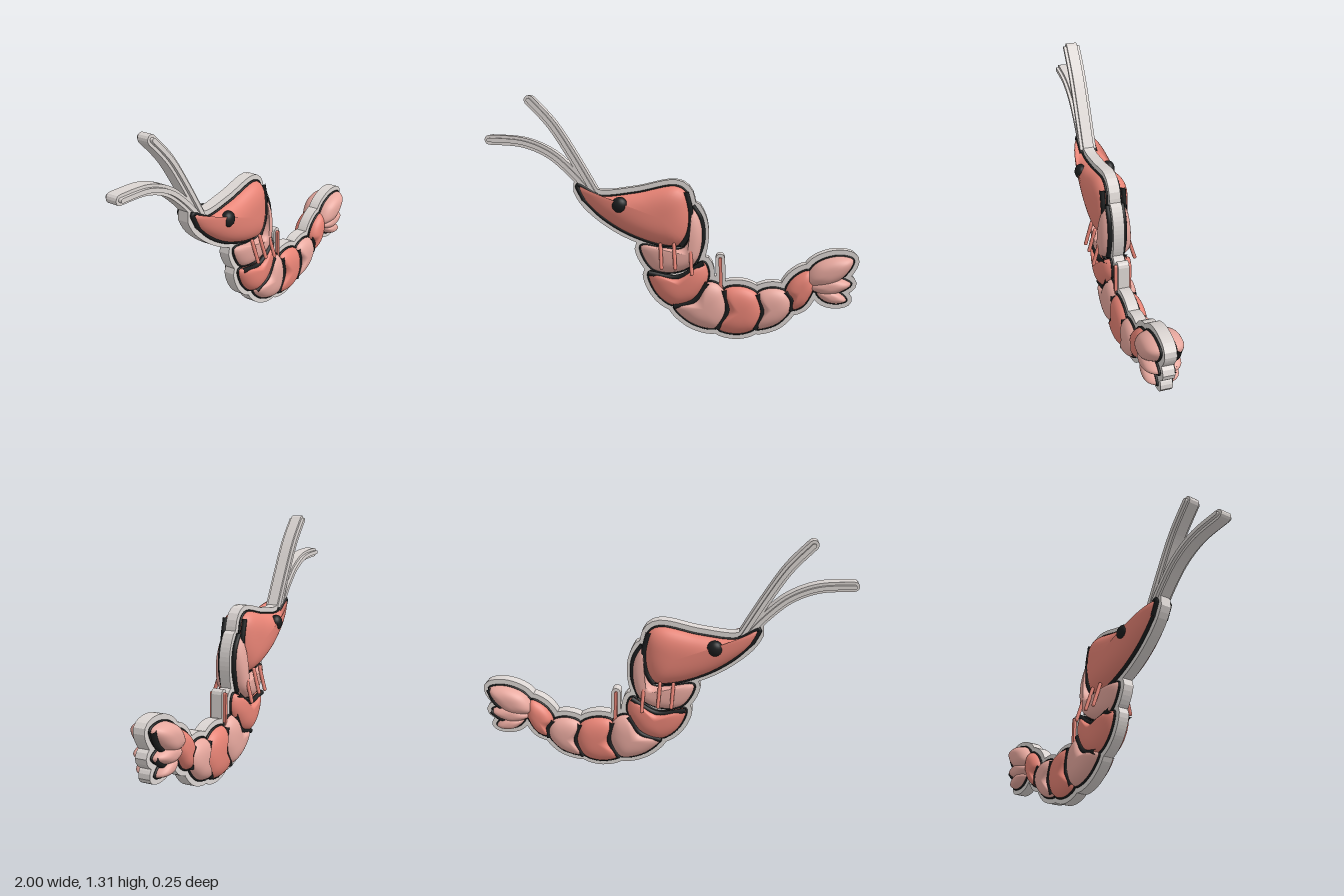
import * as THREE from 'three';

const mat = (name, color) => {
  const m = new THREE.MeshStandardMaterial({ color });
  m.name = name;
  return m;
};
const V = (x, y) => new THREE.Vector2(x, y);
const PLATE = 0.03; // half thickness of the backing plate
const RIM = 0.031;  // plate border around each part
const LINE = 0.006; // radius of the thin black border

// Closed, counter-clockwise smooth outline from a few control points
function outline(points, n = 56) {
  const curve = new THREE.CatmullRomCurve3(points.map((p) => new THREE.Vector3(p.x, p.y, 0)), true, 'centripetal');
  const out = curve.getSpacedPoints(n).slice(0, n).map((p) => V(p.x, p.y));
  return THREE.ShapeUtils.isClockWise(out) ? out.reverse() : out;
}

// Push an outline outwards along its normals
function grow(pts, d) {
  const n = pts.length;
  return pts.map((p, i) => {
    const t = pts[(i + 1) % n].clone().sub(pts[(i + n - 1) % n]).normalize();
    return V(p.x + t.y * d, p.y - t.x * d);
  });
}

// Flat slab centred on z = 0
function slab(pts, half) {
  const g = new THREE.ExtrudeGeometry(new THREE.Shape(pts), { depth: half * 2, bevelEnabled: false });
  return g.translate(0, 0, -half);
}

// Round-ended band along an open curve
function band(points, w) {
  const curve = new THREE.SplineCurve(points), left = [], right = [], N = 24;
  for (let i = 0; i <= N; i++) {
    const p = curve.getPoint(i / N), t = curve.getTangent(i / N);
    left.unshift(V(p.x - t.y * w, p.y + t.x * w));
    right.push(V(p.x + t.y * w, p.y - t.x * w));
  }
  const cap = (u, dir) => {
    const p = curve.getPoint(u), a0 = curve.getTangent(u).multiplyScalar(dir).angle();
    return [-0.3, -0.15, 0, 0.15, 0.3].map((k) => {
      const a = a0 + k * Math.PI;
      return V(p.x + Math.cos(a) * w, p.y + Math.sin(a) * w);
    });
  };
  return [...right, ...cap(1, 1), ...left, ...cap(0, -1)];
}

// Round cord through points at one height
function cord(points, z, r, closed = false) {
  const path = new THREE.CatmullRomCurve3(points.map((p) => new THREE.Vector3(p.x, p.y, z)), closed, 'centripetal');
  return new THREE.TubeGeometry(path, closed ? 90 : 30, r, 8, closed);
}

// Puffed dome over an outline, on the front (side 1) or the back (side -1)
function dome(pts, height, side, c) {
  const n = pts.length, K = 12, pos = [], idx = [];
  for (let k = 0; k < K; k++) {
    const s = Math.cos((k / K) * Math.PI / 2);
    const z = PLATE - 0.005 + (height + 0.005) * Math.sqrt(1 - s ** 3);
    for (const p of pts) pos.push(c.x + (p.x - c.x) * s, c.y + (p.y - c.y) * s, side * z);
  }
  pos.push(c.x, c.y, side * (PLATE + height));
  const tri = (a, b, d) => (side > 0 ? idx.push(a, b, d) : idx.push(a, d, b));
  for (let k = 0; k < K; k++) {
    for (let i = 0; i < n; i++) {
      const j = (i + 1) % n, a = k * n + i, b = k * n + j;
      if (k === K - 1) tri(a, b, K * n);
      else { tri(a, b, b + n); tri(a, b + n, a + n); }
    }
  }
  const g = new THREE.BufferGeometry();
  g.setAttribute('position', new THREE.Float32BufferAttribute(pos, 3));
  g.setIndex(idx);
  g.computeVertexNormals();
  return g;
}

// Midpoint of a to b, bulged to the right of the direction of travel
const bulge = (a, b, k) => V((a.x + b.x) / 2 + (b.y - a.y) * k, (a.y + b.y) / 2 - (b.x - a.x) * k);

// Tail segment between two joints, each an [outer, inner] pair bulging tailwards
function segment([o1, i1], [o2, i2]) {
  return [o1, bulge(o1, o2, 0.16), o2, bulge(o2, i2, 0.17), i2, bulge(i2, i1, 0.16), i1, bulge(o1, i1, 0.17)];
}

// Leaf-shaped fin from base to tip, lower edge first
function fin(base, tip, w) {
  const d = tip.clone().sub(base), u = d.clone().normalize();
  return [[0, 0], [0.3, -1], [0.75, -0.85], [1, 0], [0.75, 0.85], [0.3, 1]].map(
    ([t, s]) => V(base.x + d.x * t - u.y * w * s, base.y + d.y * t + u.x * w * s));
}

export function createModel() {
  const root = new THREE.Group();
  root.name = 'shrimp';
  const coral = mat('coral', 0xe78375);
  const pink = mat('pale pink', 0xebaba1);
  const dark = mat('black', 0x1b1d1e);
  const grey = mat('plate grey', 0xdcd6d3);

  const add = (name, geometry, material) => {
    const m = new THREE.Mesh(geometry, material);
    m.name = name;
    root.add(m);
    return m;
  };

  // One body part: plate, then a dome and a thin black border on both sides
  const addPart = (name, colour, height, points, centre) => {
    const pts = outline(points);
    const c = centre ?? pts.reduce((a, p) => a.add(p), V(0, 0)).divideScalar(pts.length);
    add(name + 'Plate', slab(grow(pts, RIM), PLATE), grey);
    for (const side of [1, -1]) {
      add(name, dome(pts, height, side, c), colour);
      add(name + 'Border', cord(pts, side * (PLATE + LINE), LINE, true), dark);
    }
  };

  // Heavy black line on both sides
  const addLine = (name, points, z, r) => {
    for (const side of [1, -1]) add(name, cord(points, side * z, r), dark);
  };

  // Head and the neck tucked under its rear edge
  const head = [V(-.505, .84), V(-.4, .785), V(-.2, .8), V(.02, .84), V(.075, .81), V(.1, .7),
    V(.09, .59), V(.05, .52), V(-.05, .52), V(-.23, .58), V(-.37, .665), V(-.47, .76)];
  addPart('head', coral, 0.075, head, V(-.06, .675));
  addLine('headRearLine', head.slice(4, 8), 0.057, 0.014);
  addLine('headLowerLine', head.slice(7), 0.038, 0.01);
  addLine('headTipLine', [head[11], head[0], head[1]], 0.04, 0.012);
  const neck = [V(.11, .735), V(.155, .66), V(.165, .55), V(.13, .43), V(.02, .37), V(-.11, .39),
    V(-.17, .515), V(-.05, .505), V(.06, .505), V(.105, .6)];
  addPart('neck', pink, 0.062, neck, V(.085, .475));
  addLine('neckRearLine', neck.slice(0, 4), 0.04, 0.013);

  // Curled tail segments in alternating colours, with a heavy line at each joint
  const joints = [
    [V(-.125, .37), V(.17, .43)], [V(.01, .185), V(.19, .32)], [V(.245, .063), V(.28, .28)],
    [V(.45, .063), V(.46, .26)], [V(.64, .17), V(.61, .275)], [V(.735, .235), V(.735, .39)],
  ];
  for (let i = 0; i < 5; i++) {
    const [outer, inner] = joints[i];
    addPart('tailSegment', i % 2 ? pink : coral, 0.066 - i * 0.0025, segment(joints[i], joints[i + 1]));
    addLine('jointLine', [outer, bulge(outer, inner, 0.17), inner], 0.063 - i * 0.002, 0.014 - i * 0.0005);
  }

  // Tail fan, with dark undersides on the back
  const fins = [
    ['upperTailFin', 0.075, fin(V(.715, .325), V(.966, .45), 0.066)],
    ['middleTailFin', 0.066, fin(V(.735, .298), V(.958, .318), 0.043)],
    ['lowerTailFin', 0.06, fin(V(.775, .27), V(.935, .227), 0.034)],
  ];
  for (const [name, height, points] of fins) addPart(name, pink, height, points);
  for (const [name, , points] of fins.slice(0, 2)) {
    add(name + 'Underside', cord(points.slice(1, 4), -0.053, 0.015), dark);
  }

  // Antennae: wide backing strip with a narrow raised strip
  const antennae = [
    [V(-.973, 1.078), V(-.8, 1.065), V(-.66, 1.01), V(-.55, .92), V(-.44, .8)],
    [V(-.757, 1.287), V(-.64, 1.16), V(-.53, .99), V(-.42, .8)],
  ];
  for (const points of antennae) {
    add('antennaPlate', slab(band(points, 0.026), PLATE), grey);
    add('antenna', slab(band(points, 0.011), 0.046), grey);
  }

  // Small upright swimming leg on the plate
  const stub = [V(.265, .25), V(.262, .35), V(.259, .445)];
  add('rearLegPlate', slab(band(stub, 0.026), PLATE), grey);
  add('rearLeg', slab(band(stub, 0.009), 0.046), coral);

  // Eyes and thin front legs on both sides
  for (const side of [1, -1]) {
    const eye = add('eye', new THREE.SphereGeometry(0.043, 24, 16), dark);
    eye.position.set(-.275, .74, side * 0.08);
    eye.scale.z = 0.8;
    for (const [x, y] of [[-.06, .535], [.012, .535], [.1, .505]]) {
      const a = new THREE.Vector3(x, y, side * 0.08), b = new THREE.Vector3(x + .009, y - .13, side * 0.118);
      const leg = add('frontLeg', new THREE.CapsuleGeometry(0.01, a.distanceTo(b) - 0.01, 4, 10), coral);
      leg.position.copy(a).lerp(b, 0.5);
      leg.quaternion.setFromUnitVectors(new THREE.Vector3(0, 1, 0), b.sub(a).normalize());
    }
  }
  return root;
}
